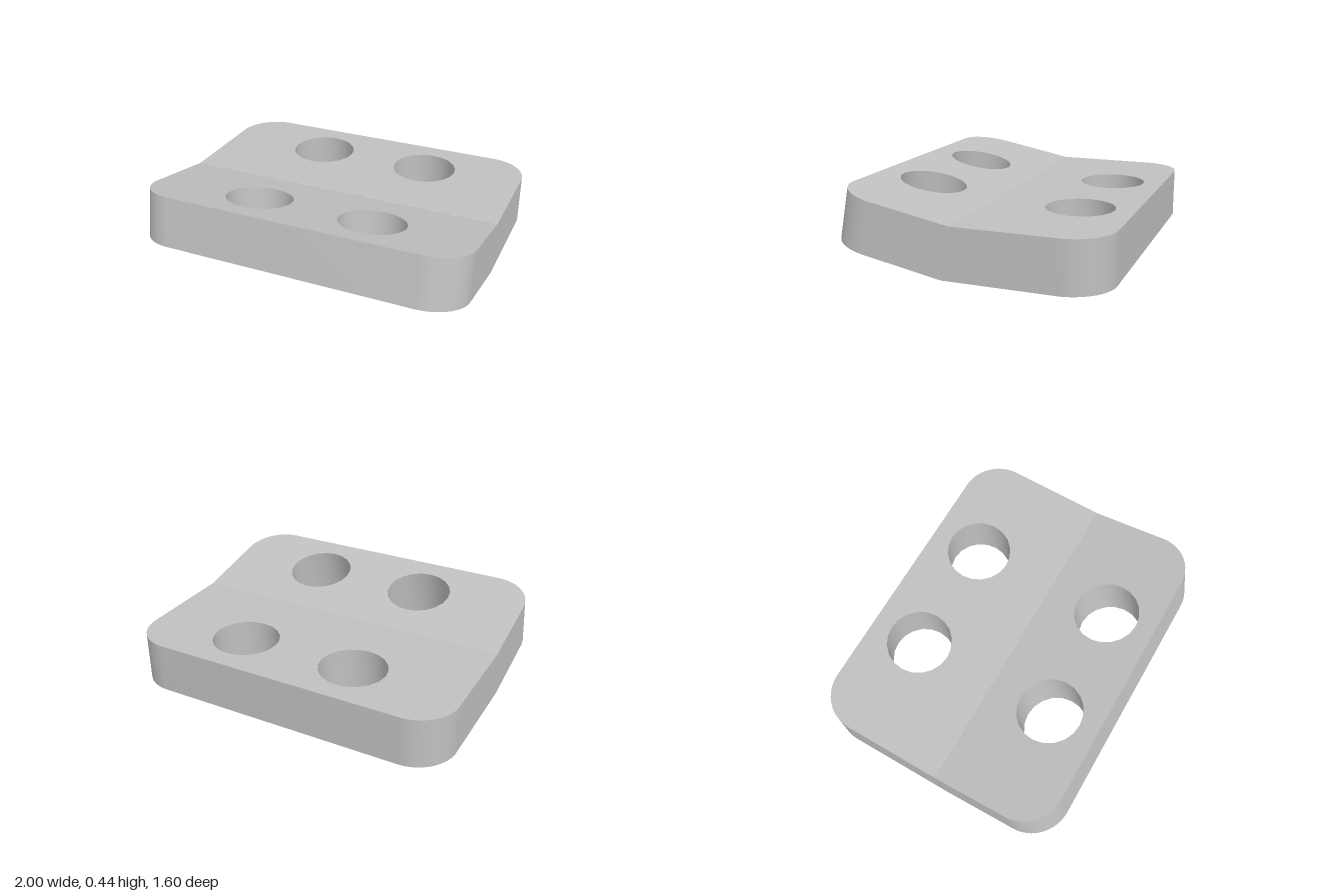
import * as THREE from 'three';
import { toCreasedNormals } from 'three/addons/utils/BufferGeometryUtils.js';

const THICK = 0.305, CORNER = 0.24, TILT = 0.191;
const FOLD_TOP = 0.04, FOLD_BOTTOM = 0.098;

// Half plate: rounded outer end at z = 0, running back to z = -length, with two holes
function halfPlate(length, holeXs) {
  const r = CORNER;
  const s = new THREE.Shape();
  s.moveTo(-1 + r, 0);
  s.lineTo(1 - r, 0);
  s.absarc(1 - r, r, r, -Math.PI / 2, 0, false);
  s.lineTo(1, length);
  s.lineTo(-1, length);
  s.lineTo(-1, r);
  s.absarc(-1 + r, r, r, Math.PI, Math.PI * 1.5, false);
  for (const x of holeXs) {
    s.holes.push(new THREE.Path().absarc(x, 0.317, 0.2, 0, Math.PI * 2, true));
  }
  const geo = new THREE.ExtrudeGeometry(s, { depth: THICK, bevelEnabled: false, curveSegments: 10 });
  geo.rotateX(-Math.PI / 2);
  return openFold(geo, -length);
}

// Remove the inner wall where the two halves meet
function openFold(geo, foldZ) {
  const src = geo.index ? geo.toNonIndexed() : geo;
  const p = src.attributes.position.array;
  const kept = [];
  for (let i = 0; i < p.length; i += 9) {
    const onFold = [2, 5, 8].every((k) => Math.abs(p[i + k] - foldZ) < 1e-4);
    if (!onFold) kept.push(...p.slice(i, i + 9));
  }
  const out = new THREE.BufferGeometry();
  out.setAttribute('position', new THREE.Float32BufferAttribute(kept, 3));
  return out;
}

export function createModel() {
  const group = new THREE.Group();
  group.name = 'bentPlate';
  const grey = new THREE.MeshStandardMaterial({ color: 0xc0c0c0 });
  grey.name = 'plain grey';

  // Front half, tilted upward from the fold
  const front = halfPlate(0.715, [-0.335, 0.38]);
  front.rotateX(-TILT);
  front.translate(0, 0.145, 0.8);

  // Level back half, with its inner edge mitred to meet the front half
  const back = halfPlate(0.9, [0.335, -0.38]);
  back.rotateY(Math.PI);
  back.translate(0, 0, -0.8);
  const pos = back.attributes.position;
  for (let i = 0; i < pos.count; i++) {
    const top = pos.getY(i) > THICK / 2;
    const z = pos.getZ(i);
    if (z > 0.09) pos.setZ(i, top ? FOLD_TOP : FOLD_BOTTOM);
    // slight bow of the underside
    pos.setY(i, top ? 0.309 : Math.min(0.009, Math.abs(z + 0.29) * 0.0235));
  }

  for (const [name, geo] of [['frontHalf', front], ['backHalf', back]]) {
    const mesh = new THREE.Mesh(toCreasedNormals(geo, 0.6), grey);
    mesh.name = name;
    group.add(mesh);
  }
  return group;
}
